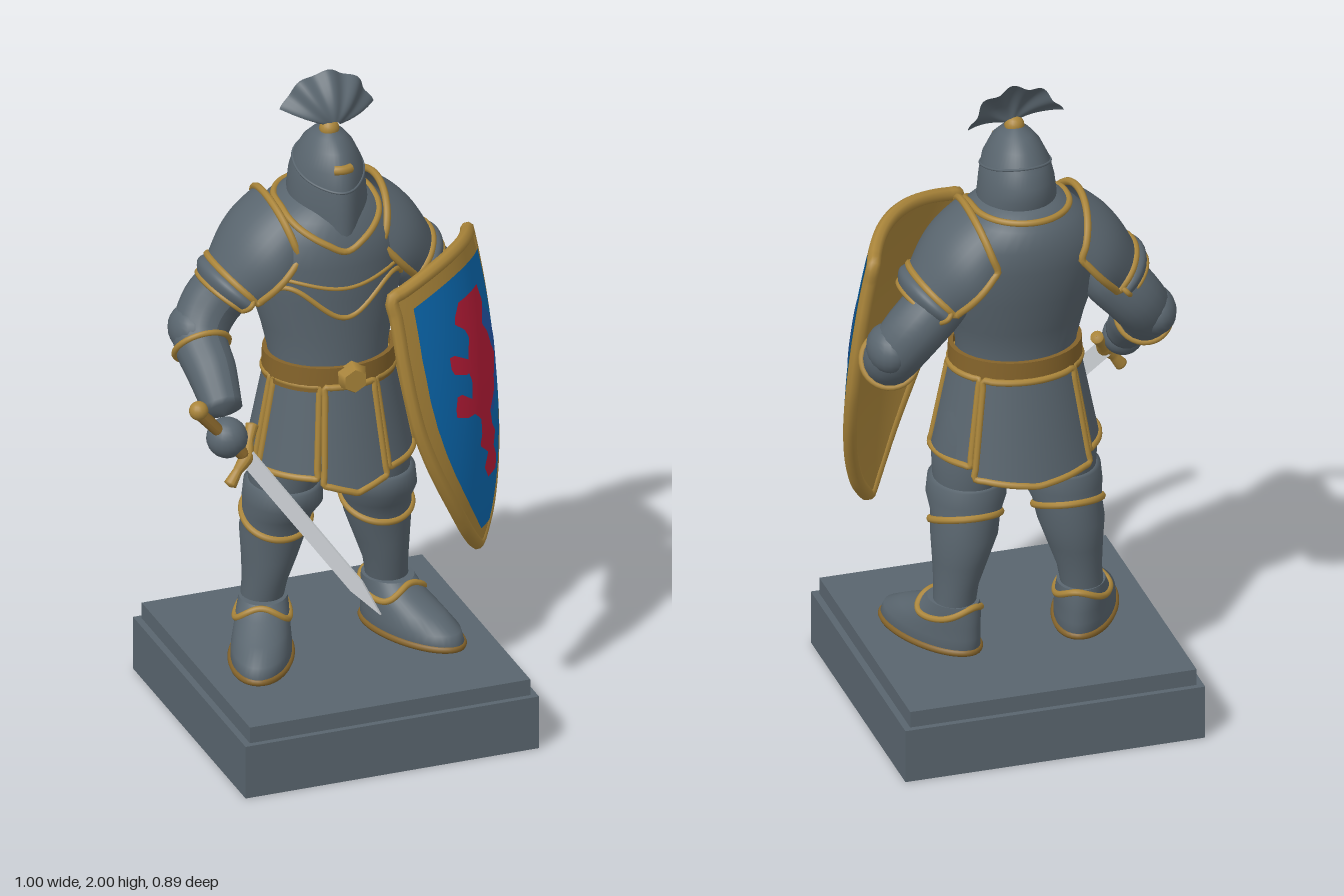
import * as THREE from 'three';

const mat = (name, color) => Object.assign(
  new THREE.MeshStandardMaterial({ color, side: THREE.DoubleSide }), { name });
const V = (x, y, z) => new THREE.Vector3(x, y, z);

// Interpolate rows of numbers by their ascending first column
function lerpAt(rows, key) {
  let i = 0;
  while (i < rows.length - 2 && key > rows[i + 1][0]) i++;
  const a = rows[i], b = rows[i + 1];
  const t = Math.min(1, Math.max(0, (key - a[0]) / (b[0] - a[0] || 1)));
  return a.map((v, k) => v + (b[k] - v) * t);
}

// Point on an elliptical ring: [y, rx, rz, cx, cz, beak, tilt]
function ringPoint([y, rx, rz, cx, cz, beak = 0, tilt = 0], a) {
  const s = Math.sin(a);
  return V(cx + rx * Math.cos(a), y - tilt * s, cz + rz * s + beak * Math.max(0, s) ** 8);
}

// Skin through rings from bottom to top; a repeated ring makes a crease
function loft(rings, n = 40) {
  const pos = [], idx = [];
  rings.forEach((r, i) => {
    for (let j = 0; j < n; j++) {
      pos.push(...ringPoint(r, j / n * Math.PI * 2).toArray());
      if (i === rings.length - 1) continue;
      const a = i * n + j, d = i * n + (j + 1) % n;
      idx.push(a, a + n, d, a + n, d + n, d);
    }
  });
  return build(pos, idx);
}

function build(pos, idx) {
  const g = new THREE.BufferGeometry();
  g.setAttribute('position', new THREE.Float32BufferAttribute(pos, 3));
  g.setIndex(idx);
  g.computeVertexNormals();
  return g;
}

// Sheet from a function of u and v in 0..1
function sheet(fn, nu = 20, nv = 14) {
  const pos = [], idx = [], w = nu + 1;
  for (let j = 0; j <= nv; j++) for (let i = 0; i <= nu; i++) {
    pos.push(...fn(i / nu, j / nv).toArray());
    if (i < nu && j < nv) {
      const a = j * w + i;
      idx.push(a, a + 1, a + w, a + 1, a + w + 1, a + w);
    }
  }
  return build(pos, idx);
}

const tube = (pts, r, closed = false) =>
  new THREE.TubeGeometry(new THREE.CatmullRomCurve3(pts, closed), pts.length * 3, r, 8, closed);

function border(fn, r, n = 10) {
  const pts = [];
  for (const side of [t => [t, 0], t => [1, t], t => [1 - t, 1], t => [0, 1 - t]])
    for (let i = 0; i < n; i++) pts.push(fn(...side(i / n)));
  return tube(pts, r, true);
}

// Round limb of varying thickness through points [x, y, z, r], closed at both ends
function limb(points) {
  const curve = new THREE.CatmullRomCurve3(points.map(p => V(p[0], p[1], p[2])));
  const steps = 32, g = new THREE.TubeGeometry(curve, steps, 1, 18);
  const p = g.attributes.position, n = g.attributes.normal;
  const radii = points.map((q, i) => [i / (points.length - 1), q[3]]);
  for (let i = 0; i < p.count; i++) {
    const row = Math.floor(i / 19), end = row === 0 || row === steps;
    const k = 1 - (end ? 0.001 : lerpAt(radii, curve.getUtoTmapping(row / steps))[1]);
    p.setXYZ(i, p.getX(i) - n.getX(i) * k, p.getY(i) - n.getY(i) * k, p.getZ(i) - n.getZ(i) * k);
  }
  g.computeVertexNormals();
  return g;
}

export function createModel() {
  const root = new THREE.Group();
  const steel = mat('steel', 0x59656e), gold = mat('gold', 0xaa853a), bronze = mat('bronze', 0x84632a),
    blue = mat('blue', 0x0a69b0), deepBlue = mat('deepBlue', 0x2358ac), red = mat('red', 0xbb1c38),
    silver = mat('silver', 0xccd0d4);
  const add = (name, g, m, parent = root) => {
    const mesh = new THREE.Mesh(g, m);
    mesh.name = name;
    parent.add(mesh);
    return mesh;
  };
  // Tube laid on a loft, its height given by the angle
  const trim = (name, rings, yAt, r, m = gold, a0 = 0, a1 = Math.PI * 2, parent = root) => {
    const closed = a1 - a0 > 6.2, n = 24, pts = [];
    for (let i = 0; i < n + (closed ? 0 : 1); i++) {
      const a = a0 + (a1 - a0) * i / n;
      pts.push(ringPoint(lerpAt(rings, yAt(a)), a));
    }
    add(name, tube(pts, r, closed), m, parent);
  };
  const panel = (name, fn, r) => {
    add(name, sheet(fn), steel);
    add(name + 'Trim', border(fn, r), gold);
  };

  // Plinth
  add('plinth', new THREE.BoxGeometry(0.9, 0.165, 0.895), steel).position.set(0.015, 0.0825, -0.002);
  add('plinthTop', new THREE.BoxGeometry(0.86, 0.06, 0.86), steel).position.set(0.015, 0.185, -0.002);

  // Legs and boots
  for (const s of [-1, 1]) {
    const side = s > 0 ? 'left' : 'right';
    const leg = [[0.33, 0.06, 0.06, 0.195, -0.085], [0.42, 0.064, 0.076, 0.185, -0.077],
      [0.5, 0.08, 0.092, 0.172, -0.075], [0.58, 0.097, 0.104, 0.16, -0.075], [0.64, 0.1, 0.108, 0.152, -0.062],
      [0.69, 0.115, 0.128, 0.144, -0.042], [0.74, 0.112, 0.124, 0.142, -0.042], [0.745, 0.1, 0.112, 0.14, -0.045],
      [0.745, 0.1, 0.112, 0.14, -0.045], [0.84, 0.12, 0.128, 0.125, -0.045], [0.98, 0.1, 0.12, 0.11, -0.04]]
      .map(([y, rx, rz, cx, cz]) => [y, rx, rz, cx * s + 0.01, cz]);
    add(side + 'Leg', loft(leg), steel);
    trim(side + 'KneeTrim', leg, a => 0.625 - 0.04 * Math.sin(a), 0.011);
    const boot = new THREE.Group();
    boot.name = side + 'Boot';
    boot.position.set(0.193 * s + 0.01, 0, -0.07);
    boot.rotation.y = s * 0.42;
    root.add(boot);
    const foot = [[0.215, 0.082, 0.182, 0, 0.095], [0.235, 0.088, 0.192, 0, 0.095], [0.265, 0.087, 0.184, 0, 0.088],
      [0.3, 0.081, 0.15, 0, 0.055], [0.335, 0.076, 0.108, 0, 0.015], [0.37, 0.07, 0.082, 0, -0.004],
      [0.37, 0.07, 0.082, 0, -0.004], [0.372, 0.04, 0.04, 0, 0]];
    add('boot', loft(foot), steel, boot);
    trim('sole', foot, () => 0.226, 0.011, bronze, 0, Math.PI * 2, boot);
    trim('ankleTrim', foot, a => 0.342 - 0.022 * Math.cos(2 * a), 0.01, gold, 0, Math.PI * 2, boot);
  }

  // Skirt plates around the hips
  add('hips', loft([[0.86, 0.1, 0.1, 0, -0.03], [0.86, 0.215, 0.175, 0, -0.03], [0.86, 0.215, 0.175, 0, -0.03],
    [1.12, 0.18, 0.15, 0, -0.03]]), steel);
  const skirt = (name, from, to, low, point, out) => panel(name, (u, v) => {
    const y = 1.1 - v * (1.1 - low - point * Math.abs(2 * u - 1)), t = (1.1 - y) / 0.3;
    const a = (90 + from + (to - from) * u) * Math.PI / 180;
    return ringPoint([y, 0.185 + out + 0.06 * t, 0.16 + out + 0.055 * t, 0.005, -0.03], a);
  }, 0.01);
  skirt('frontTasset', -22, 22, 0.785, 0.03, 0.012);
  skirt('backTasset', 138, 222, 0.79, 0.02, 0.014);
  for (const s of [-1, 1]) {
    skirt('frontSideTasset', s * 27, s * 76, 0.83, 0, 0.004);
    skirt('sideTasset', s * 81, s * 133, 0.84, 0, 0.008);
  }

  // Torso, belt and buckle
  const torso = [[1.08, 0.178, 0.152, 0, -0.03], [1.16, 0.176, 0.15, 0, -0.03], [1.25, 0.195, 0.16, 0, -0.04],
    [1.36, 0.225, 0.178, 0, -0.055], [1.47, 0.24, 0.19, 0, -0.062], [1.54, 0.225, 0.186, 0, -0.067],
    [1.6, 0.17, 0.165, 0, -0.072], [1.64, 0.11, 0.13, 0, -0.065], [1.66, 0.05, 0.05, 0, -0.05]];
  add('torso', loft(torso), steel);
  trim('collar', torso, a => Math.sin(a) > 0 ? 1.52 + 0.1 * Math.abs(Math.cos(a)) : 1.62, 0.01);
  trim('breastTrim', torso, a => 1.36 - 0.05 * Math.cos(4 * (a - Math.PI / 2)), 0.008, gold, 0.5, 2.64);
  trim('ribTrim', torso, a => 1.44 - 0.035 * Math.sin(a) ** 6, 0.006, gold, 0.75, 2.39);
  const beltRing = (y, o) => [y, 0.18 + o, 0.155 + o, 0.003, -0.03];
  add('belt', loft([beltRing(1.085, 0), beltRing(1.085, 0.017), beltRing(1.085, 0.017), beltRing(1.16, 0.014),
    beltRing(1.16, 0.014), beltRing(1.16, 0)]), bronze);
  const buckle = add('buckle', new THREE.CylinderGeometry(0.036, 0.05, 0.035, 6), gold);
  buckle.rotation.x = Math.PI / 2;
  buckle.position.set(0.01, 1.125, 0.15);

  // Helmet with beaked visor
  const helm = [[1.585, 0.09, 0.115, 0.005, -0.05, 0.025, 0.05], [1.585, 0.11, 0.13, 0.005, -0.05, 0.03, 0.05],
    [1.585, 0.11, 0.13, 0.005, -0.05, 0.03, 0.05], [1.64, 0.113, 0.137, 0.005, -0.05, 0.022, 0.03],
    [1.7, 0.106, 0.135, 0.005, -0.05, 0.02, 0.008], [1.75, 0.095, 0.122, 0.005, -0.045, 0.014, 0],
    [1.8, 0.071, 0.093, 0.005, -0.042, 0.008, 0], [1.83, 0.046, 0.06, 0.005, -0.04, 0, 0],
    [1.85, 0.012, 0.015, 0.005, -0.035, 0, 0]];
  add('helmet', loft(helm, 48), steel);
  trim('visorEdge', helm, a => 1.735 - 0.03 * Math.sin(a), 0.004, steel);
  trim('browOrnament', helm, a => 1.75 + 0.012 * Math.sin(a), 0.014, gold, 1.3, 1.84);
  add('plumeHolder', new THREE.SphereGeometry(0.029, 18, 12), gold).position.set(0.005, 1.845, -0.03);

  // Fan plume with soft feather lobes
  for (const f of [-1, 1]) add('plume', sheet((u, v) => {
    const q = (u - 0.5) * 2, a = q * 1.3 + 0.08, lobe = Math.cos(q * Math.PI * 4);
    const r = 0.02 + v * (0.124 + 0.006 * lobe);
    const thick = 0.013 * Math.sqrt(Math.max(0, 1 - q * q)) * (1 - v * v * 0.7);
    return V(0.015 + Math.sin(a) * r, 1.85 + Math.cos(a) * r, -0.025 - 0.065 * v * v + f * thick + 0.004 * v * lobe);
  }, 60, 10), steel);

  // Pauldrons and the lames below them
  for (const s of [-1, 1]) {
    const pauldron = (v0, v1, grow, sweep) => (u, v) => {
      const w = v0 + (v1 - v0) * v, p = (u - 0.5) * 2 * sweep, b = grow + 0.02 * Math.sin(Math.PI * v);
      return V(s * (0.13 + 0.12 * w + (0.04 + 0.04 * w + b * 0.7) * Math.cos(p)),
        1.51 - 0.14 * w + (0.13 - 0.05 * w + b * 0.7) * Math.cos(p), -0.09 + (0.168 - 0.03 * w + b) * Math.sin(p));
    };
    const side = s > 0 ? 'left' : 'right';
    panel(side + 'Pauldron', pauldron(0, 1, 0, 1.65), 0.011);
    panel(side + 'ShoulderLame', pauldron(0.98, 1.24, -0.006, 1.5), 0.008);
  }

  // Arms with a ringed gauntlet cuff
  const arm = (side, points) => {
    add(side + 'Arm', limb(points), steel);
    const curve = new THREE.CatmullRomCurve3(points.map(p => V(p[0], p[1], p[2])));
    const ring = add(side + 'CuffTrim', new THREE.TorusGeometry(0.081, 0.009, 8, 32), gold);
    ring.position.copy(curve.getPoint(0.66));
    ring.quaternion.setFromUnitVectors(V(0, 0, 1), curve.getTangent(0.66));
  };
  arm('right', [[-0.19, 1.46, -0.09, 0.06], [-0.25, 1.37, -0.125, 0.09], [-0.32, 1.29, -0.135, 0.087],
    [-0.365, 1.215, -0.1, 0.08], [-0.365, 1.14, 0, 0.072], [-0.365, 1.05, 0.1, 0.055]]);
  arm('left', [[0.2, 1.46, -0.09, 0.06], [0.26, 1.37, -0.125, 0.09], [0.345, 1.28, -0.135, 0.087],
    [0.395, 1.19, -0.1, 0.08], [0.37, 1.13, 0, 0.07], [0.31, 1.1, 0.13, 0.055]]);
  for (const [x, y, z, name] of [[-0.38, 1.01, 0.155, 'rightHand'], [0.3, 1.1, 0.15, 'leftHand']]) {
    add(name, new THREE.SphereGeometry(0.06, 20, 14), steel).position.set(x, y, z);
  }
  for (const [x, name] of [[-0.385, 'rightElbow'], [0.41, 'leftElbow']]) {
    const e = add(name, new THREE.SphereGeometry(0.085, 20, 14), steel);
    e.scale.set(0.75, 0.85, 1);
    e.position.set(x, 1.23, -0.12);
  }

  // Sword
  add('grip', limb([[-0.475, 1.115, 0.16, 0.02], [-0.4, 1.03, 0.175, 0.017], [-0.335, 0.955, 0.19, 0.02]]), bronze);
  add('pommel', new THREE.SphereGeometry(0.028, 16, 12), gold).position.set(-0.47, 1.115, 0.163);
  add('crossguard', limb([[-0.395, 0.88, 0.21, 0.02], [-0.365, 0.92, 0.2, 0.014], [-0.335, 0.955, 0.19, 0.022],
    [-0.315, 0.99, 0.16, 0.014], [-0.292, 1.03, 0.13, 0.02]]), gold);
  const hilt = V(-0.335, 0.955, 0.19), along = V(-0.02, 0.51, 0.443).sub(hilt), length = along.length();
  along.normalize();
  const flat = V(along.z, 0, -along.x).normalize(), across = along.clone().cross(flat);
  const outline = [[-0.026, 0], [0.026, 0], [0.024, length * 0.82], [0, length], [-0.024, length * 0.82]];
  const blade = add('blade', new THREE.ExtrudeGeometry(new THREE.Shape(outline.map(p => new THREE.Vector2(...p))),
    { depth: 0.009, bevelEnabled: false }), silver);
  blade.quaternion.setFromRotationMatrix(new THREE.Matrix4().makeBasis(across, along, flat));
  blade.position.copy(hilt);

  // Curved shield: u runs across it, y up, off lifts from its face
  const shieldAt = (u, y, off) => {
    const n = 0.05 - 0.09 * ((y - 0.83) / 0.67) ** 2 + 0.09 * (1 - (u / 0.28) ** 2) + off;
    return V(0.26 + 0.725 * u + 0.69 * n, y, 0.17 - 0.69 * u + 0.725 * n);
  };
  const halves = [[0, 0.01], [0.03, 0.048], [0.09, 0.098], [0.17, 0.148], [0.25, 0.189], [0.33, 0.224],
    [0.41, 0.25], [0.5, 0.27], [0.6, 0.282], [0.75, 0.284], [1, 0.27]];
  const face = (inset, v0, v1, off) => (u, v) => {
    const w = v0 + (v1 - v0) * v, s = 2 * u - 1;
    const half = Math.max(0.003, lerpAt(halves, w)[1] - inset);
    return shieldAt(0.035 * (1 - w) + s * half, 0.565 + 0.945 * w - 0.045 * s * s * w ** 4, off);
  };
  add('shieldFace', sheet(face(0.018, 0.015, 0.982, 0), 32, 32), gold);
  add('shieldBack', sheet(face(0.018, 0.015, 0.982, -0.03), 32, 32), gold);
  add('shieldRim', border(face(0.02, 0.015, 0.98, -0.015), 0.021, 14), gold);
  add('shieldField', sheet(face(0.058, 0.08, 0.935, 0.006), 32, 32), blue);

  // Painted beast on the shield, as rows of [y, left, right]
  const paint = (name, rows, off, m) => add(name, sheet((u, v) => {
    const [y, l, r] = lerpAt(rows, rows[0][0] + (rows[rows.length - 1][0] - rows[0][0]) * v);
    return shieldAt(l + (r - l) * u, y, off);
  }, 12, 64), m);
  paint('shieldShade', [[0.98, 0.07, 0.09], [1.06, 0.03, 0.17], [1.15, 0.03, 0.2], [1.24, 0.03, 0.17],
    [1.3, 0.07, 0.1]], 0.009, deepBlue);
  paint('beastBody', [[0.8, 0.02, 0.085], [0.84, -0.005, 0.09], [0.88, 0.02, 0.065], [0.92, -0.03, 0.085],
    [0.95, -0.015, 0.06], [1, -0.015, 0.05], [1.04, -0.06, 0.1], [1.08, -0.055, 0.11], [1.13, -0.045, 0.15],
    [1.17, -0.06, 0.12], [1.22, -0.045, 0.1], [1.26, -0.03, 0.065], [1.29, -0.045, 0.085], [1.32, -0.085, 0.1],
    [1.34, -0.08, 0.09], [1.375, -0.05, 0.08]], 0.012, red);
  paint('beastUpperPaw', [[1.16, -0.07, -0.04], [1.18, -0.12, -0.04], [1.2, -0.13, -0.05], [1.235, -0.13, -0.11]], 0.013, red);
  paint('beastLowerPaw', [[1.03, -0.08, -0.05], [1.05, -0.13, -0.04], [1.075, -0.13, -0.05], [1.11, -0.12, -0.1]], 0.013, red);
  return root;
}
